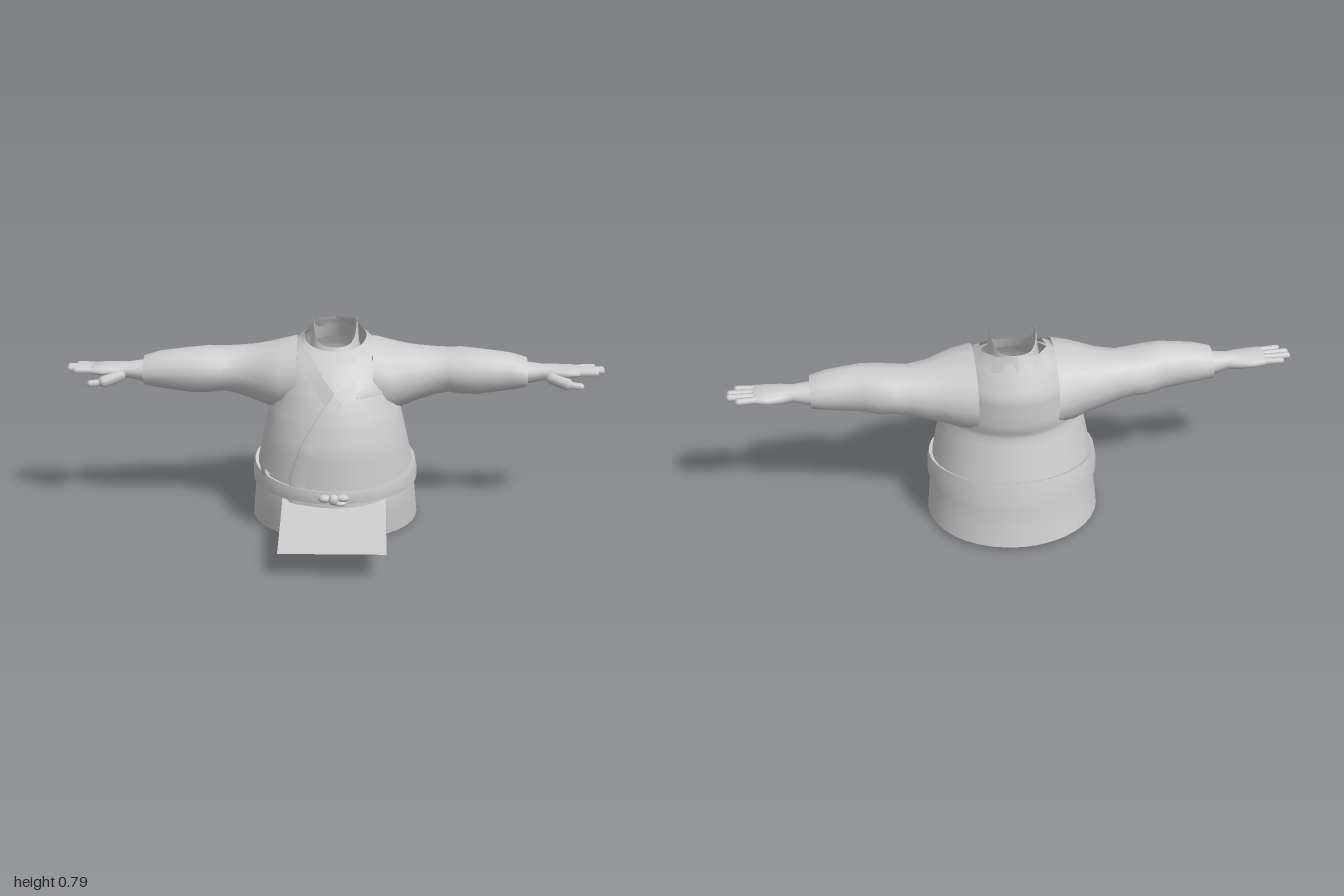
import * as THREE from 'three';
import { toCreasedNormals } from 'three/addons/utils/BufferGeometryUtils.js';

const material = new THREE.MeshStandardMaterial({ color: 0xcccccc, side: THREE.DoubleSide });

function mesh(name, geometry, parent) {
  const m = new THREE.Mesh(geometry, material);
  m.name = name;
  parent.add(m);
  return m;
}

// Skin through rows of points; rows may be closed loops or open strips, and cells can be left out
function loft(rows, closed = true, isHole = () => false) {
  const n = rows[0].length, index = [];
  for (let i = 0; i < rows.length - 1; i++) {
    for (let j = 0; j < (closed ? n : n - 1); j++) {
      const k = (j + 1) % n, a = i * n + j, b = i * n + k, c = a + n, d = b + n;
      if (isHole(rows[i][j]) && isHole(rows[i + 1][k])) continue;
      index.push(a, b, d, a, d, c);
    }
  }
  const g = new THREE.BufferGeometry();
  g.setAttribute('position', new THREE.Float32BufferAttribute(rows.flat(2), 3));
  g.setIndex(index);
  g.computeVertexNormals();
  return g;
}

const SEG = 36;
const loop = (n, f) => Array.from({ length: n }, (_, i) => f((i / n) * Math.PI * 2));

// Upright tilted ellipse: front y, front z, back y, back z, half width
function ringPoint([yF, zF, yB, zB, hw], s, c) {
  const t = (1 + c) / 2;
  return [hw * s, yB + (yF - yB) * t, zB + (zF - zB) * t];
}
const upright = (r) => loop(SEG, (a) => ringPoint(r, Math.sin(a), Math.cos(a)));

// Ellipse across the arm: x, bottom, top, back, front
const across = ([x, y0, y1, z0, z1]) => loop(16, (a) => [
  x, (y0 + y1) / 2 + (y1 - y0) / 2 * Math.cos(a), (z0 + z1) / 2 + (z1 - z0) / 2 * Math.sin(a)]);

const TORSO = [
  [0.003, 0.10, 0.02, -0.462, 0.31],
  [0.12, 0.12, 0.12, -0.44, 0.30],
  [0.20, 0.115, 0.25, -0.422, 0.29],
  [0.34, 0.105, 0.34, -0.395, 0.268],
  [0.43, 0.08, 0.43, -0.367, 0.247],
  [0.48, 0.062, 0.48, -0.383, 0.235],
  [0.53, 0.04, 0.53, -0.385, 0.225],
  [0.59, 0.003, 0.60, -0.385, 0.21],
  [0.635, -0.05, 0.67, -0.352, 0.175],
  [0.665, -0.10, 0.73, -0.322, 0.115],
];

// Torso ring at a fractional level
function torsoRing(t) {
  const i = Math.min(Math.floor(t), TORSO.length - 2);
  return TORSO[i].map((v, j) => v + (TORSO[i + 1][j] - v) * (t - i));
}

// Point on the front of the torso at x, y, pushed out a little
function onFront(x, y, out) {
  let lo = 0, hi = TORSO.length - 1, p;
  for (let k = 0; k < 30; k++) {
    const t = (lo + hi) / 2, r = torsoRing(t);
    const s = THREE.MathUtils.clamp(x / r[4], -1, 1);
    p = ringPoint(r, s, Math.sqrt(1 - s * s));
    if (p[1] < y) lo = t; else hi = t;
  }
  return [p[0], p[1], p[2] + out];
}

// Capsule between two points
function finger(a, b, r, parent, name) {
  const p = new THREE.Vector3(...a), q = new THREE.Vector3(...b), d = q.clone().sub(p);
  const m = mesh(name, new THREE.CapsuleGeometry(r, d.length(), 4, 8), parent);
  m.position.copy(p).add(q).multiplyScalar(0.5);
  m.quaternion.setFromUnitVectors(new THREE.Vector3(0, 1, 0), d.normalize());
}

function arm(name) {
  const g = new THREE.Group();
  g.name = name;
  // Sleeve, flaring into the body and folding inward at the cuff
  mesh('sleeve', loft([
    [0.14, 0.41, 0.695, -0.368, -0.025], [0.20, 0.415, 0.682, -0.352, -0.035],
    [0.25, 0.437, 0.67, -0.335, -0.06], [0.30, 0.453, 0.66, -0.322, -0.09],
    [0.37, 0.475, 0.654, -0.305, -0.115], [0.42, 0.488, 0.652, -0.306, -0.102],
    [0.47, 0.482, 0.656, -0.298, -0.095], [0.53, 0.485, 0.655, -0.27, -0.094],
    [0.60, 0.495, 0.647, -0.262, -0.10], [0.65, 0.502, 0.64, -0.258, -0.105],
    [0.71, 0.513, 0.622, -0.252, -0.113], [0.705, 0.52, 0.616, -0.246, -0.119],
    [0.64, 0.522, 0.612, -0.243, -0.123],
  ].map(across)), g);
  // Forearm and palm
  mesh('hand', loft([
    [0.66, 0.528, 0.606, -0.235, -0.135], [0.72, 0.525, 0.604, -0.23, -0.14],
    [0.77, 0.537, 0.598, -0.217, -0.148], [0.81, 0.537, 0.597, -0.228, -0.135],
    [0.86, 0.547, 0.594, -0.238, -0.127], [0.90, 0.556, 0.59, -0.235, -0.126],
    [0.915, 0.57, 0.576, -0.2, -0.16],
  ].map(across)), g);
  [[0.96, -0.142], [0.985, -0.168], [0.987, -0.193], [0.957, -0.222]].forEach(([x, z], i) =>
    finger([0.88, 0.573, -0.147 - i * 0.023], [x, 0.575, z], 0.0125, g, 'finger'));
  finger([0.80, 0.555, -0.148], [0.855, 0.537, -0.128], 0.023, g, 'thumbBase');
  finger([0.855, 0.535, -0.128], [0.905, 0.53, -0.122], 0.014, g, 'thumb');
  return g;
}

export function createModel() {
  const model = new THREE.Group();
  model.name = 'robedTorso';

  // Jacket and skirt, with armholes left open inside the sleeves
  const levels = Array.from({ length: (TORSO.length - 1) * 3 + 1 }, (_, i) => i / 3);
  const inArmhole = ([x, y, z]) => Math.abs(x) > 0.12 && ((y - 0.553) / 0.12) ** 2 + ((z + 0.195) / 0.14) ** 2 < 1;
  mesh('jacket', loft(levels.map((t) => upright(torsoRing(t))), true, inArmhole), model);

  // Closed underside of the body inside the skirt
  const floor = [0.15, 0.11, 0.17, -0.42, 0.285];
  mesh('bodyUnderside', loft([upright(floor), upright([0.16, -0.154, 0.16, -0.156, 0.001])]), model);

  // Neck edge, rising to a sharp point at each side
  const neck = (y, spike, rx, rz) => loop(SEG, (a) => {
    const c = Math.cos(a);
    return [rx * Math.sin(a), y - 0.02 * c + spike * (1 - Math.abs(c)) ** 2.5, -0.195 + rz * c + 0.018 * (1 - Math.abs(c))];
  });
  mesh('neckEdge', loft([neck(0.65, 0, 0.095, 0.11), neck(0.67, 0.02, 0.088, 0.10), neck(0.70, 0.09, 0.08, 0.088)]), model);

  // Collar band, from nape to the crossing at the chest
  const collarTop = [[0, 0.74, -0.322], [0.07, 0.735, -0.307], [0.118, 0.705, -0.21], [0.11, 0.68, -0.125],
    onFront(0.07, 0.635, 0.015), onFront(0.035, 0.59, 0.014), onFront(0, 0.55, 0.014)];
  const collarBase = [[0, 0.69, -0.343], [0.09, 0.685, -0.325], [0.145, 0.685, -0.21], [0.14, 0.655, -0.10],
    onFront(0.105, 0.60, 0.004), onFront(0.07, 0.55, 0.004), onFront(0.035, 0.505, 0.004)];
  for (const side of [1, -1]) {
    const c = mesh(side > 0 ? 'leftCollar' : 'rightCollar', loft([collarBase, collarTop], false), model);
    c.scale.x = side;
  }

  // Overlapping front edge, running down to the belt and on to the hem
  const edge = new THREE.CatmullRomCurve3([[0, 0.55], [-0.05, 0.48], [-0.10, 0.40], [-0.14, 0.31],
    [-0.165, 0.21], [-0.165, 0.12], [-0.16, 0.035]].map(([x, y]) => new THREE.Vector3(x, y, 0))).getPoints(36);
  const strip = (dx, out) => edge.map(({ x, y }) => onFront(x + dx, y, out));
  mesh('frontOverlap', loft([strip(0, 0), strip(0.003, 0.008), strip(0.03, 0.006), strip(0.06, 0)], false), model);

  // Chest pocket
  const row = (y, out) => [0.08, 0.11, 0.14, 0.175].map((x) => onFront(x, y, out));
  mesh('chestPocket', loft([row(0.527, 0), row(0.53, 0.008), row(0.56, 0.01), row(0.587, 0)], false), model);

  // Belt, flat-faced and higher at the back
  mesh('belt', toCreasedNormals(loft([
    [0.16, 0.113, 0.185, -0.43, 0.293], [0.155, 0.125, 0.18, -0.446, 0.307],
    [0.18, 0.129, 0.23, -0.438, 0.307],
    [0.202, 0.124, 0.278, -0.424, 0.30], [0.20, 0.113, 0.272, -0.415, 0.287],
  ].map(upright)), 0.8), model);

  // Belt knot
  const knot = new THREE.Group();
  knot.name = 'beltKnot';
  model.add(knot);
  [[0, 0.176, 0.133, 0.02, 0.021], [0.033, 0.18, 0.127, 0.024, 0.014], [-0.033, 0.178, 0.127, 0.024, 0.015],
    [0.024, 0.162, 0.131, 0.024, 0.011]].forEach(([x, y, z, w, h]) => {
    const k = mesh('knotLobe', new THREE.SphereGeometry(1, 12, 8), knot);
    k.position.set(x, y, z);
    k.scale.set(w, h, 0.018);
  });

  // Side tie on the right hip
  for (const [x, y] of [[-0.28, 0.285], [-0.235, 0.255]]) {
    mesh('sideTie', loft([
      [[-0.27, 0.215, -0.02], [-0.25, 0.215, 0.0]],
      [[x, y, -0.04], [x + 0.012, y - 0.02, 0.0]],
    ], false), model);
  }

  // Flat front panel held out from under the belt
  const panel = [[0.04, 0.155], [0.10, 0.14], [0.22, 0.121], [0.46, 0.103]];
  mesh('frontPanel', loft([-0.19, 0.19].map((x) => panel.map(([z, y]) => [x, y, z])), false), model);

  model.add(arm('leftArm'));
  const right = arm('rightArm');
  right.scale.x = -1;
  model.add(right);
  return model;
}
